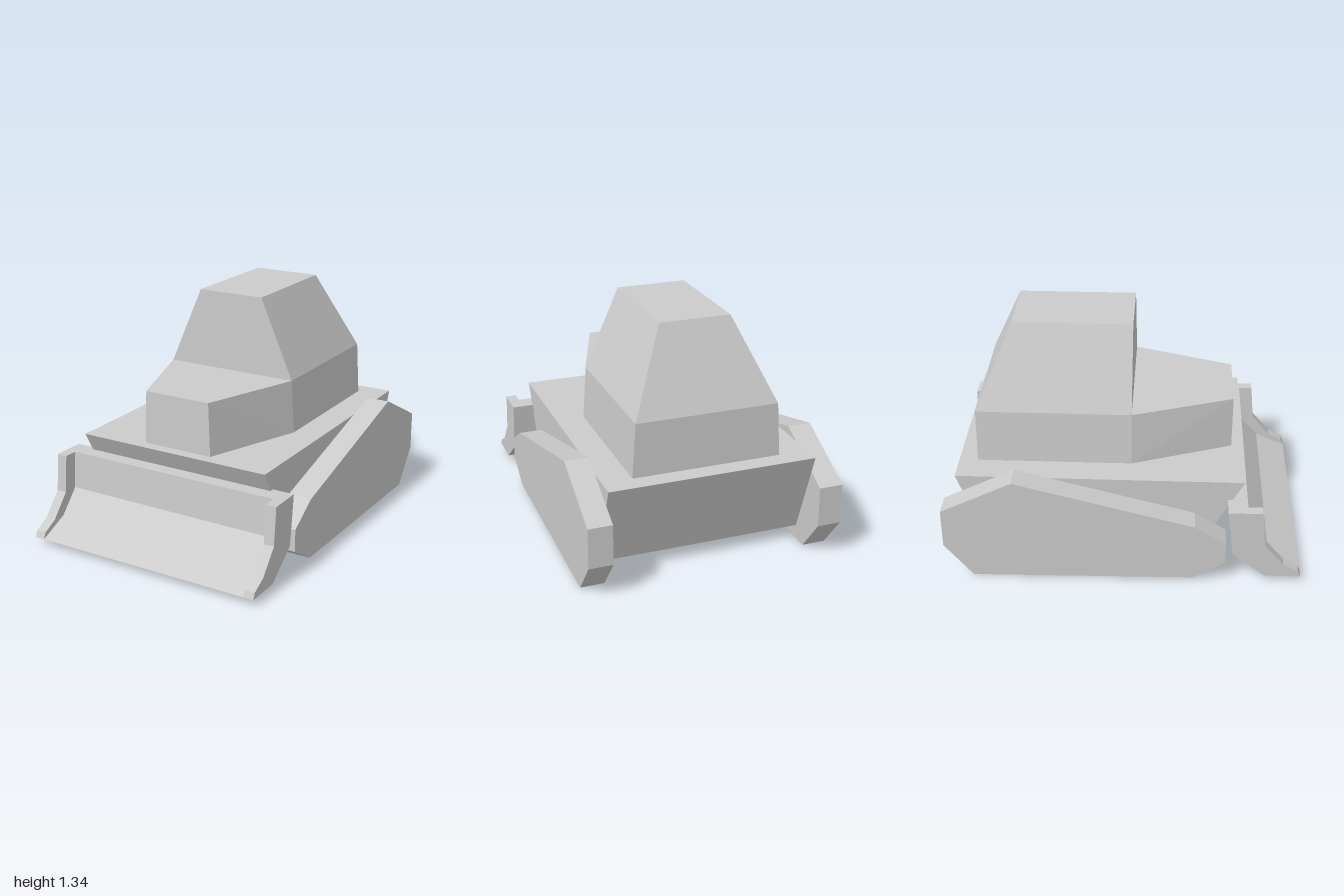
import * as THREE from 'three';
import { ConvexGeometry } from 'three/addons/geometries/ConvexGeometry.js';

const material = new THREE.MeshStandardMaterial({ color: 0xcccccc, flatShading: true });

function part(name, geometry) {
  const mesh = new THREE.Mesh(geometry, material);
  mesh.name = name;
  return mesh;
}

// Side profile of [z, y] points, extruded across x between x0 and x1
function slab(name, profile, x0, x1) {
  const shape = new THREE.Shape(profile.map(([z, y]) => new THREE.Vector2(z, y)));
  const geometry = new THREE.ExtrudeGeometry(shape, { depth: x1 - x0, bevelEnabled: false });
  geometry.rotateY(-Math.PI / 2);
  geometry.translate(x1, 0, 0);
  return part(name, geometry);
}

// Convex solid from mirrored [x, y, z] corners
function mirroredSolid(name, corners) {
  const points = corners.flatMap(([x, y, z]) => [new THREE.Vector3(x, y, z), new THREE.Vector3(-x, y, z)]);
  return part(name, new ConvexGeometry(points));
}

export function createModel() {
  const model = new THREE.Group();
  model.name = 'bulldozer';

  // Hull with sloping nose and tail
  model.add(slab('hull', [[0.67, 0.58], [-0.93, 0.58], [-0.75, 0.08], [0.395, 0.08]], -0.585, 0.585));

  // Engine housing, narrowing towards the front and flaring slightly at the base
  model.add(mirroredSolid('engineHousing', [
    [0.2, 0.885, 0.605], [0.4, 0.885, 0.04], [0.4, 0.885, -0.825],
    [0.21, 0.58, 0.605], [0.42, 0.58, 0.04], [0.42, 0.58, -0.825],
  ]));

  // Cab with upright front and tapering sides and back
  model.add(mirroredSolid('cab', [
    [0.4, 0.885, 0.04], [0.4, 0.885, -0.825],
    [0.2, 1.34, 0.04], [0.2, 1.34, -0.625],
  ]));

  // Blade: curved centre panel between two end plates
  const bladeBack = [[0.8, 0.04], [0.615, 0.18], [0.58, 0.465]];
  model.add(slab('blade',
    [...bladeBack, [0.69, 0.465], [0.705, 0.25], [0.82, 0.12], [1.0, 0.04]], -0.65, 0.65));
  const endProfile = [...bladeBack, [0.77, 0.465], [0.79, 0.25], [0.9, 0.12], [0.985, 0.075], [1.0, 0.04]];

  const trackProfile = [
    [0.575, 0.26], [0.4, 0.37], [-0.6, 0.63], [-1.0, 0.43],
    [-1.0, 0.2], [-0.84, 0], [0.4, 0.02], [0.575, 0.13],
  ];

  // Tracks and blade ends on both sides
  for (const [side, s] of [['left', 1], ['right', -1]]) {
    const across = (a, b) => (s > 0 ? [a, b] : [-b, -a]);
    model.add(slab(side + 'Track', trackProfile, ...across(0.585, 0.72)));
    model.add(slab(side + 'BladeEnd', endProfile, ...across(0.65, 0.71)));
  }
  return model;
}
